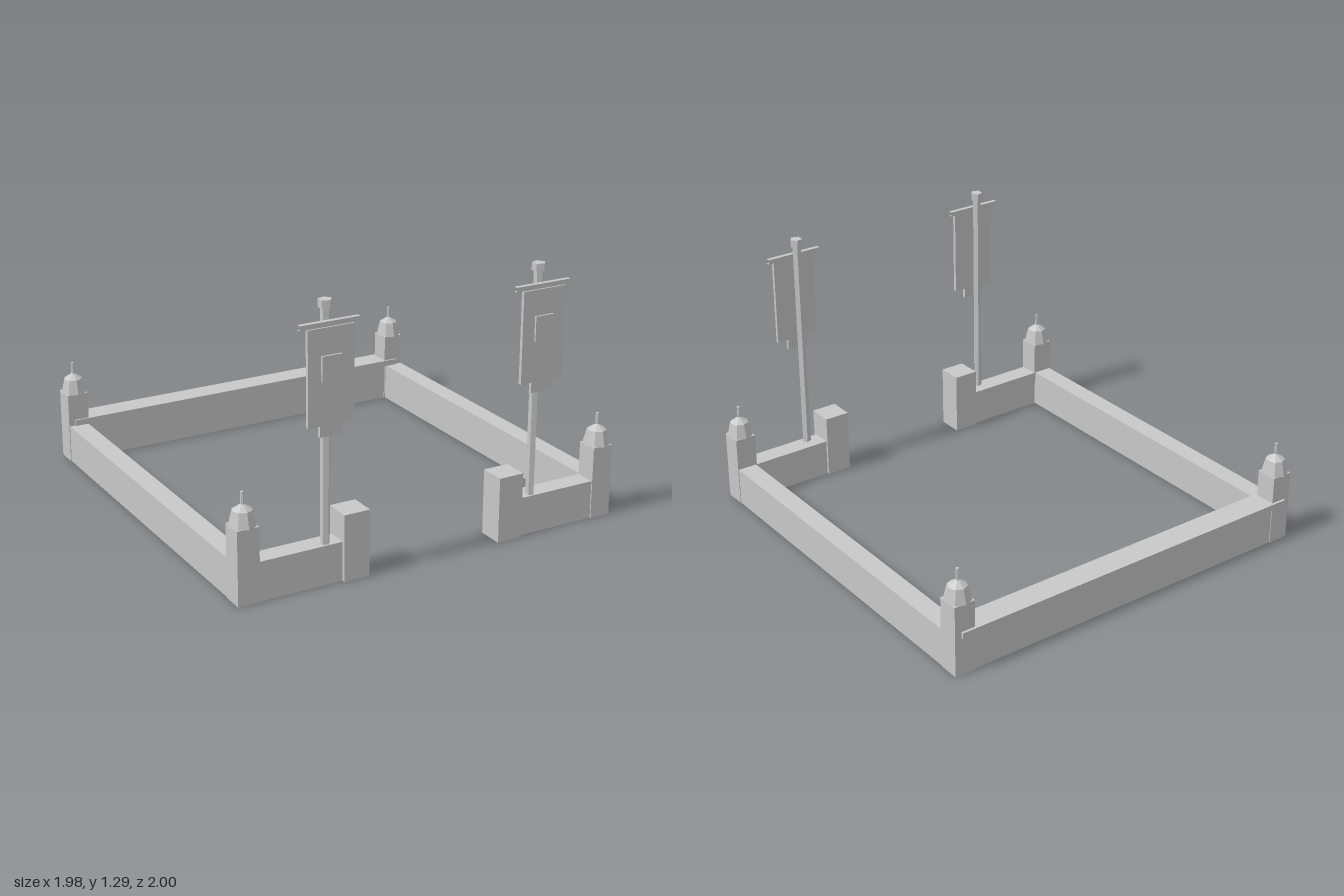
import * as THREE from 'three';

// Hollow parts are open underneath, so both sides show
const stone = new THREE.MeshStandardMaterial({ color: 0xc8c8c8, side: THREE.DoubleSide });
stone.name = 'grey stone';

function add(parent, name, geometry, x = 0, y = 0, z = 0) {
  const flat = geometry.index ? geometry.toNonIndexed() : geometry;
  flat.computeVertexNormals();
  const mesh = new THREE.Mesh(flat, stone);
  mesh.name = name;
  mesh.position.set(x, y, z);
  parent.add(mesh);
  return mesh;
}

// Box given by its limits on each axis; boxes that stand on the ground have no underside
function box(parent, name, x0, x1, y0, y1, z0, z1) {
  const geometry = new THREE.BoxGeometry(x1 - x0, y1 - y0, z1 - z0);
  if (y0 === 0) {
    const index = Array.from(geometry.index.array);
    index.splice(18, 6);
    geometry.setIndex(index);
  }
  return add(parent, name, geometry, (x0 + x1) / 2, (y0 + y1) / 2, (z0 + z1) / 2);
}

// Square corner post with an eight-sided flared cap and a spike
function cornerPost(x, z) {
  const post = new THREE.Group();
  post.name = 'cornerPost';
  post.position.set(x, 0, z);
  const h = 0.0525;
  box(post, 'postShaft', -h, h, 0, 0.35, -h, h);
  add(post, 'capSkirt', new THREE.CylinderGeometry(0.046, 0.063, 0.072, 8, 1, true), 0, 0.385, 0);
  add(post, 'capRoof', new THREE.CylinderGeometry(0.008, 0.046, 0.025, 8, 1, true), 0, 0.4335, 0);
  add(post, 'capSpike', new THREE.CylinderGeometry(0.008, 0.008, 0.06, 6), 0, 0.472, 0);
  return post;
}

// Pole with finial, crossbar, notched cloth and a square emblem plate
function banner(x) {
  const group = new THREE.Group();
  group.name = 'banner';
  group.position.x = x;
  const fiveSided = (radius, height) =>
    new THREE.CylinderGeometry(radius, radius, height, 5, 1, false, Math.PI / 2);
  add(group, 'pole', fiveSided(0.021, 1.25), 0, 0.627, 0.938);
  add(group, 'finial', fiveSided(0.031, 0.037), 0, 1.268, 0.938);
  const bar = add(group, 'crossbar',
    new THREE.CylinderGeometry(0.0156, 0.0156, 0.288, 4, 1, true, Math.PI / 4), 0, 1.191, 0.971);
  bar.rotation.z = Math.PI / 2;

  const cloth = new THREE.Shape([
    [-0.111, 1.18], [-0.111, 0.75], [-0.054, 0.75], [-0.054, 0.7],
    [0.054, 0.7], [0.054, 0.75], [0.111, 0.75], [0.111, 1.18],
  ].map(([px, py]) => new THREE.Vector2(px, py)));
  add(group, 'cloth', new THREE.ExtrudeGeometry(cloth, { depth: 0.017, bevelEnabled: false }), 0, 0, 0.973);
  box(group, 'emblem', -0.048, 0.048, 0.945, 1.06, 0.9905, 1);
  return group;
}

export function createModel() {
  const model = new THREE.Group();
  model.name = 'walledCourtyard';

  for (const s of [-1, 1]) {
    // Ordered x limits for the mirrored side
    const wall = (name, a, b, ...rest) =>
      box(model, name, Math.min(s * a, s * b), Math.max(s * a, s * b), ...rest);
    wall('sideWall', 0.878, 0.974, 0, 0.187, -0.89, 0.87);
    wall('frontWall', 0.46, 0.88, 0, 0.185, 0.866, 0.964);
    wall('gatePier', 0.34, 0.467, 0, 0.315, 0.854, 0.981);
    model.add(cornerPost(s * 0.925, 0.917), cornerPost(s * 0.925, -0.935), banner(s * 0.539));
  }

  // Back wall with its overhanging coping
  box(model, 'backWall', -0.88, 0.88, 0, 0.187, -0.984, -0.888);
  box(model, 'backCoping', -0.945, 0.945, 0.187, 0.217, -1, -0.874);

  return model;
}
